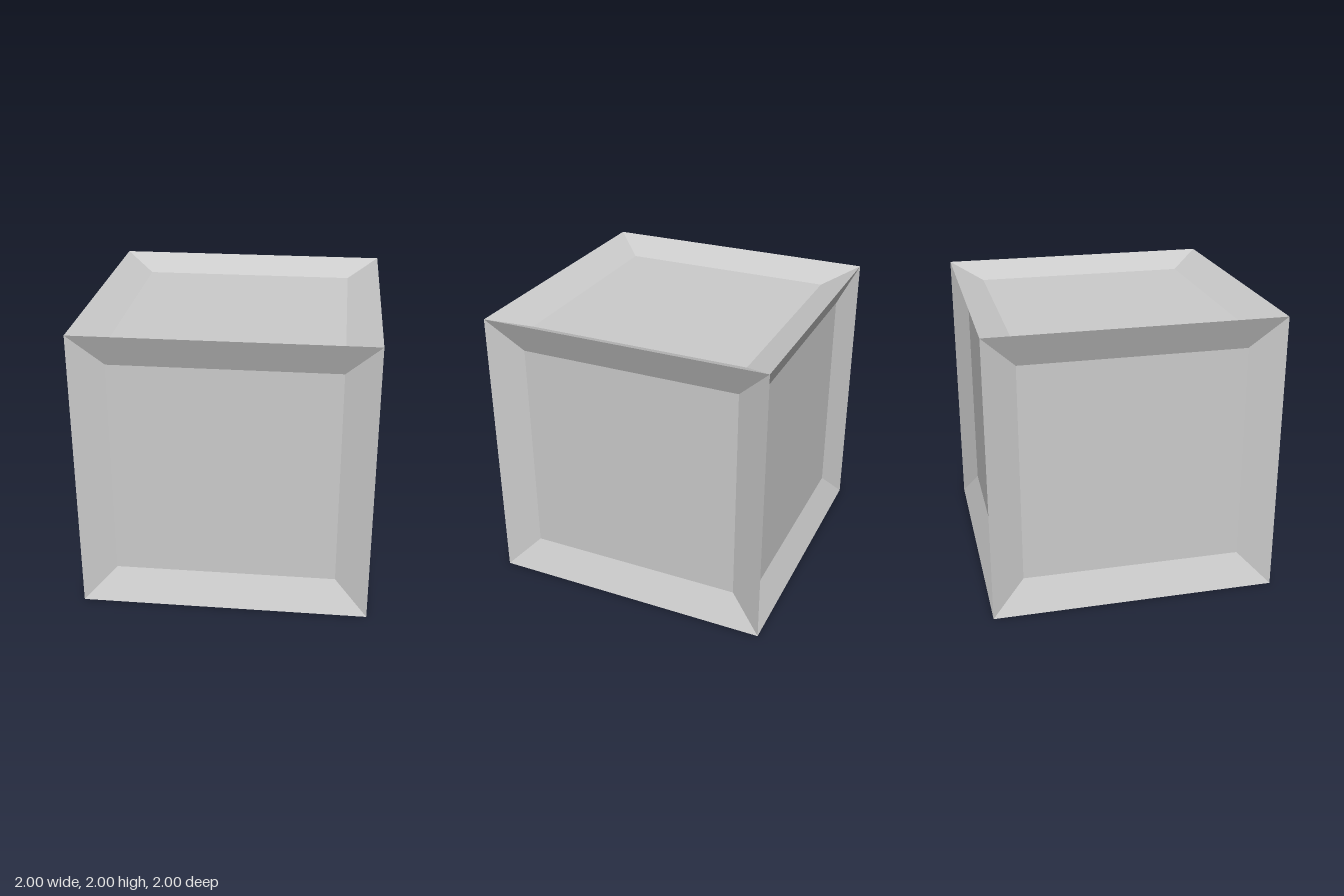
import * as THREE from 'three';

export function createModel() {
  const group = new THREE.Group();
  group.name = 'recessedCube';
  const material = new THREE.MeshStandardMaterial({ color: 0xcccccc, flatShading: true });

  const half = 1, inner = 0.772, depth = 0.102;

  // One four-sided dished face: rim, mitred slope, flat sunken panel
  const profile = [
    new THREE.Vector2(half * Math.SQRT2, half),
    new THREE.Vector2(inner * Math.SQRT2, half - depth),
    new THREE.Vector2(0, half - depth),
  ];
  const face = new THREE.LatheGeometry(profile, 4, Math.PI / 4);

  // The same face turned to each side of the cube
  const q = Math.PI / 2;
  const sides = {
    topFace: [0, 0, 0],
    bottomFace: [2 * q, 0, 0],
    frontFace: [q, 0, 0],
    backFace: [-q, 0, 0],
    leftFace: [0, 0, -q],
    rightFace: [0, 0, q],
  };
  for (const [name, rotation] of Object.entries(sides)) {
    const mesh = new THREE.Mesh(face, material);
    mesh.name = name;
    mesh.rotation.set(...rotation);
    mesh.position.y = half;
    group.add(mesh);
  }
  return group;
}
